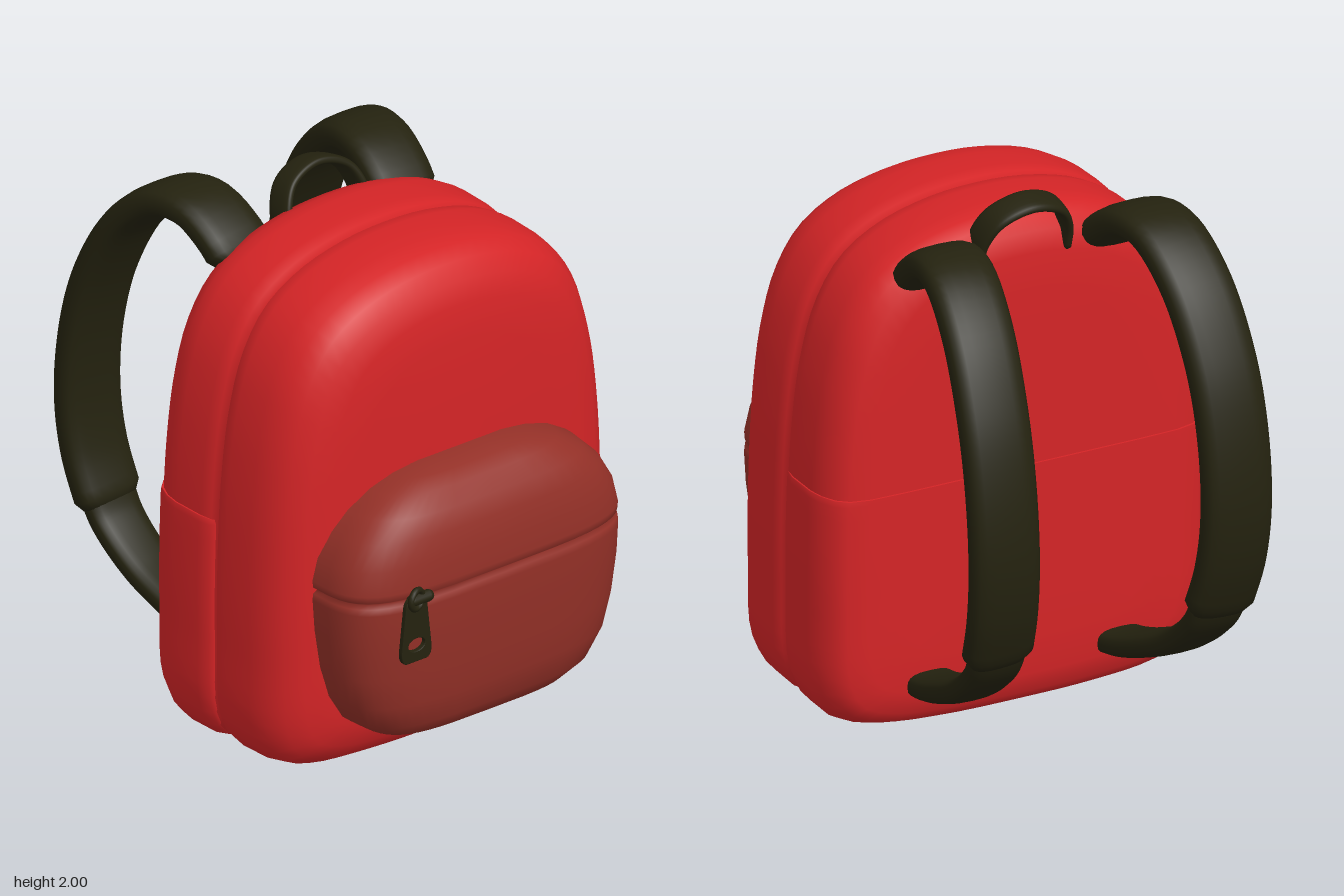
import * as THREE from 'three';

const mat = (name, color) => Object.assign(new THREE.MeshStandardMaterial({ color }), { name });
const V = (x, y, z) => new THREE.Vector3(x, y, z);

// Closed skin over a list of equal-length rings, capped at both ends, facing outward
function loft(rings) {
  const n = rings[0].length, pos = [], idx = [];
  rings.forEach(r => r.forEach(p => pos.push(p.x, p.y, p.z)));
  for (let i = 0; i < rings.length - 1; i++)
    for (let j = 0; j < n; j++) {
      const a = i * n + j, b = i * n + (j + 1) % n;
      idx.push(a, b, a + n, b, b + n, a + n);
    }
  [0, rings.length - 1].forEach((ri, end) => {
    const c = rings[ri].reduce((s, p) => s.add(p), V(0, 0, 0)).divideScalar(n);
    const ci = pos.length / 3;
    pos.push(c.x, c.y, c.z);
    for (let j = 0; j < n; j++) {
      const a = ri * n + j, b = ri * n + (j + 1) % n;
      if (end) idx.push(a, b, ci); else idx.push(b, a, ci);
    }
  });
  // Flip the winding when the enclosed volume is negative
  let vol = 0;
  const at = i => V(pos[i * 3], pos[i * 3 + 1], pos[i * 3 + 2]);
  for (let i = 0; i < idx.length; i += 3) vol += at(idx[i]).dot(at(idx[i + 1]).cross(at(idx[i + 2])));
  if (vol < 0) idx.reverse();
  const g = new THREE.BufferGeometry();
  g.setAttribute('position', new THREE.Float32BufferAttribute(pos, 3));
  g.setIndex(idx);
  g.computeVertexNormals();
  return g;
}

// Flat padded band along a path; size(t) gives [width, thickness]
function band(points, wide, size, steps = 48) {
  const curve = new THREE.CatmullRomCurve3(points), rings = [];
  const ring = (t, k) => {
    const c = curve.getPointAt(t), tan = curve.getTangentAt(t), [w, h] = size(t);
    const side = wide.clone().addScaledVector(tan, -wide.dot(tan)).normalize();
    const up = tan.clone().cross(side);
    return Array.from({ length: 20 }, (_, j) => {
      const a = j / 20 * Math.PI * 2, e = v => Math.sign(v) * Math.abs(v) ** 0.7;
      return c.clone().addScaledVector(side, e(Math.cos(a)) * w / 2 * k)
        .addScaledVector(up, e(Math.sin(a)) * h / 2 * k);
    });
  };
  rings.push(ring(0, 0.8));
  for (let i = 1; i < steps; i++) rings.push(ring(i / steps, 1));
  rings.push(ring(1, 0.8));
  return loft(rings);
}

// Right half of the bag outline, top to bottom, mirrored into a closed loop
const half = [[0, 1.915], [0.2, 1.9], [0.4, 1.845], [0.55, 1.75], [0.65, 1.6], [0.71, 1.4], [0.745, 1.15],
  [0.762, 0.85], [0.765, 0.5], [0.75, 0.2], [0.69, 0.09], [0.55, 0.035], [0.3, 0.01], [0, 0.005]];
const outline = new THREE.CatmullRomCurve3(
  [...half, ...half.slice(1, -1).reverse().map(([x, y]) => [-x, y])].map(([x, y]) => V(x, y, 0)), true
).getSpacedPoints(96).slice(0, 96);

// Outline rings at [z, inset]; grow widens them and top cuts them off
const bagLoft = (profile, grow = 0, top = 9) => loft(profile.map(([z, d]) => outline.map(p =>
  V(p.x * (0.765 + grow - d) / 0.765, Math.min(top, 0.96 + (p.y - 0.96) * (0.955 - d) / 0.955), z))));

// Pocket: half-width and front z by height, with a pinched zip line
function pocketGeometry() {
  const sections = [[0.18, 0.2, 0.66], [0.19, 0.32, 0.74], [0.22, 0.43, 0.8], [0.28, 0.51, 0.845], [0.38, 0.57, 0.868],
    [0.5, 0.602, 0.88], [0.65, 0.622, 0.89], [0.77, 0.629, 0.892], [0.795, 0.627, 0.888], [0.807, 0.612, 0.872],
    [0.819, 0.627, 0.888], [0.845, 0.629, 0.89], [0.93, 0.61, 0.882], [1.02, 0.56, 0.865], [1.09, 0.49, 0.835],
    [1.145, 0.4, 0.785], [1.175, 0.3, 0.73], [1.19, 0.2, 0.66]];
  const e = v => Math.sign(v) * Math.abs(v) ** 0.5, back = 0.55;
  return loft(sections.map(([y, w, front]) => Array.from({ length: 48 }, (_, j) => {
    const a = j / 48 * Math.PI * 2, s = e(Math.sin(a));
    return V(e(Math.cos(a)) * w, y, s > 0 ? back + s * (front - back) : back + s * 0.03);
  })));
}

export function createModel() {
  const group = new THREE.Group();
  const red = mat('red fabric', 0xd42426);
  const brown = mat('russet pocket fabric', 0x933027);
  const dark = mat('dark olive webbing', 0x24220f);
  const add = (name, geo, m, parent = group) => {
    const mesh = new THREE.Mesh(geo, m);
    mesh.name = name;
    parent.add(mesh);
    return mesh;
  };

  // Main bag with a seam groove around its middle
  add('bagBody', bagLoft([[-0.172, 0.6], [-0.172, 0.3], [-0.168, 0.15], [-0.15, 0.075], [-0.115, 0.035], [-0.06, 0.01],
    [0, 0], [0.13, 0.002], [0.18, 0.01], [0.2, 0.03], [0.22, 0.01], [0.27, 0.003], [0.4, 0.006], [0.48, 0.02],
    [0.54, 0.055], [0.585, 0.11], [0.61, 0.19], [0.624, 0.32], [0.63, 0.6]]), red);

  // Slightly raised panel wrapping the lower back half
  add('lowerBackPanel', bagLoft([[-0.18, 0.6], [-0.18, 0.3], [-0.175, 0.15], [-0.157, 0.075], [-0.12, 0.035],
    [-0.06, 0.01], [0, 0], [0.13, 0.002], [0.18, 0.014], [0.195, 0.035]], 0.009, 0.96), red);

  add('frontPocket', pocketGeometry(), brown);

  // Zip pull: tab with a window, slider and ring
  const pull = new THREE.Group();
  pull.name = 'zipPull';
  pull.position.set(-0.41, 0, 0.888);
  group.add(pull);
  const tab = new THREE.Shape();
  tab.moveTo(-0.045, 0.585);
  tab.lineTo(0.045, 0.585);
  tab.quadraticCurveTo(0.066, 0.59, 0.064, 0.63);
  tab.lineTo(0.045, 0.8);
  tab.quadraticCurveTo(0.04, 0.835, 0, 0.835);
  tab.quadraticCurveTo(-0.04, 0.835, -0.045, 0.8);
  tab.lineTo(-0.064, 0.63);
  tab.quadraticCurveTo(-0.066, 0.59, -0.045, 0.585);
  const hole = new THREE.Path();
  hole.absellipse(0, 0.648, 0.04, 0.028, 0, Math.PI * 2, true);
  tab.holes.push(hole);
  add('zipTab', new THREE.ExtrudeGeometry(tab, { depth: 0.012, bevelThickness: 0.004, bevelSize: 0.003,
    bevelSegments: 2, curveSegments: 12 }), dark, pull);
  const slider = add('zipSlider', new THREE.CapsuleGeometry(0.022, 0.07, 6, 12), dark, pull);
  slider.rotation.z = Math.PI / 2;
  slider.position.set(0.025, 0.818, 0.003);
  const loop = add('zipLoop', new THREE.TorusGeometry(0.035, 0.012, 8, 20), dark, pull);
  loop.position.set(0, 0.825, 0.014);
  loop.rotation.set(0, 0.3, 0);

  // Carry handle
  const handlePts = [[-0.175, 1.76, -0.12], [-0.168, 1.86, -0.15], [-0.12, 1.94, -0.18], [0, 1.98, -0.195],
    [0.12, 1.94, -0.18], [0.168, 1.86, -0.15], [0.175, 1.76, -0.12]].map(p => V(...p));
  add('carryHandle', band(handlePts, V(0, 0.25, 1).normalize(), () => [0.115, 0.036]), dark);

  // Shoulder straps: wide padded upper part and slimmer lower webbing
  for (const s of [1, -1]) {
    const name = s > 0 ? 'left' : 'right';
    const path = pts => pts.map(([x, y, z]) => V(s * x, y, z));
    add(name + 'ShoulderPad', band(path([[0.365, 1.75, -0.12], [0.375, 1.82, -0.19], [0.39, 1.885, -0.31],
      [0.41, 1.875, -0.45], [0.435, 1.74, -0.62], [0.455, 1.5, -0.76], [0.463, 1.25, -0.835], [0.463, 0.97, -0.862],
      [0.455, 0.75, -0.835], [0.44, 0.55, -0.765]]), V(1, 0, 0), () => [0.265, 0.12]), dark);
    add(name + 'LowerStrap', band(path([[0.445, 0.62, -0.79], [0.435, 0.5, -0.73], [0.42, 0.37, -0.58],
      [0.4, 0.28, -0.4], [0.385, 0.225, -0.25], [0.375, 0.2, -0.13]]), V(1, 0, 0),
      t => [0.22 - 0.04 * t, 0.095]), dark);
  }
  return group;
}
